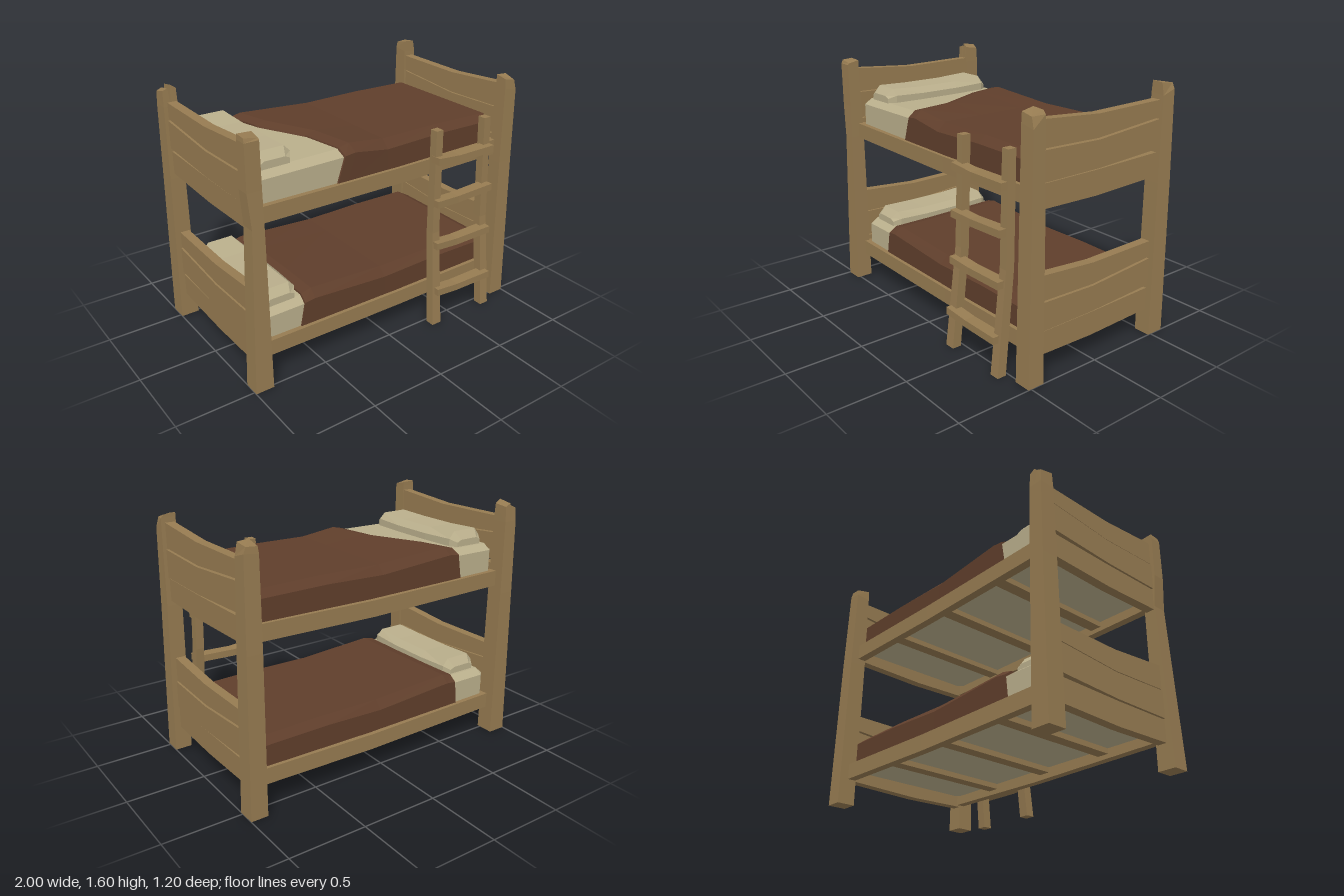
import * as THREE from 'three';

const wood = new THREE.MeshStandardMaterial({ color: 0x967b51 });
wood.name = 'wood';
const linen = new THREE.MeshStandardMaterial({ color: 0xb9ae8b });
linen.name = 'linen';
const wool = new THREE.MeshStandardMaterial({ color: 0x5f3e2b });
wool.name = 'brown blanket';

// Faceted closed solid through a list of rings of [x, y, z] points
function solid(name, rings, material) {
  const tris = [];
  const n = rings[0].length;
  for (let r = 0; r + 1 < rings.length; r++) {
    for (let i = 0; i < n; i++) {
      const j = (i + 1) % n;
      const [a, b, c, d] = [rings[r][i], rings[r][j], rings[r + 1][j], rings[r + 1][i]];
      tris.push([a, b, c], [a, c, d]);
    }
  }
  const last = rings[rings.length - 1];
  for (let i = 1; i + 1 < n; i++) {
    tris.push([rings[0][0], rings[0][i + 1], rings[0][i]], [last[0], last[i], last[i + 1]]);
  }
  // Turn the faces outward whichever way the rings run
  let volume = 0;
  const v = (p) => new THREE.Vector3(...p);
  for (const [a, b, c] of tris) volume += v(a).dot(v(b).cross(v(c)));
  if (volume < 0) tris.forEach((t) => t.reverse());
  const geometry = new THREE.BufferGeometry();
  geometry.setAttribute('position', new THREE.Float32BufferAttribute(tris.flat(2), 3));
  geometry.computeVertexNormals();
  const mesh = new THREE.Mesh(geometry, material);
  mesh.name = name;
  return mesh;
}

// Rectangular bar along an axis; station = [t, a0, a1, b0, b1]
const place = {
  x: (t, a, b) => [t, a, b],
  y: (t, a, b) => [a, t, b],
  z: (t, a, b) => [a, b, t],
};
function bar(name, axis, stations) {
  const p = place[axis];
  return solid(name, stations.map(([t, a0, a1, b0, b1]) =>
    [p(t, a0, b0), p(t, a1, b0), p(t, a1, b1), p(t, a0, b1)]), wood);
}

// Post ring: inner/outer x and z, with one height or a height per corner
function postRing(sx, sz, x0, x1, z0, z1, h) {
  const y = Array.isArray(h) ? h : [h, h, h, h];
  return [[sx * x0, y[0], sz * z0], [sx * x1, y[1], sz * z0],
    [sx * x1, y[2], sz * z1], [sx * x0, y[3], sz * z1]];
}

function createPosts() {
  const posts = new THREE.Group();
  posts.name = 'posts';
  // Front posts with hewn tops
  posts.add(solid('frontLeftPost', [
    postRing(1, 1, 0.89, 1, 0.41, 0.52, 0),
    postRing(1, 1, 0.885, 0.985, 0.41, 0.505, 1.0),
    postRing(1, 1, 0.885, 0.98, 0.42, 0.5, [1.55, 1.55, 1.48, 1.5]),
    postRing(1, 1, 0.885, 0.962, 0.42, 0.497, [1.575, 1.57, 1.545, 1.56]),
  ], wood));
  posts.add(solid('frontRightPost', [
    postRing(-1, 1, 0.88, 1, 0.41, 0.52, 0),
    postRing(-1, 1, 0.885, 0.962, 0.41, 0.505, 1.05),
    postRing(-1, 1, 0.887, 0.98, 0.415, 0.5, 1.27),
    postRing(-1, 1, 0.89, 0.98, 0.42, 0.5, 1.55),
    postRing(-1, 1, 0.89, 0.977, 0.42, 0.49, [1.575, 1.58, 1.575, 1.56]),
  ], wood));
  // Back posts, one of them split at the top
  posts.add(solid('backLeftPost', [
    postRing(1, -1, 0.89, 1, 0.48, 0.6, 0),
    postRing(1, -1, 0.885, 0.985, 0.485, 0.595, 1.0),
    postRing(1, -1, 0.885, 0.975, 0.495, 0.588, [1.53, 1.52, 1.55, 1.54]),
    postRing(1, -1, 0.89, 0.96, 0.495, 0.585, [1.6, 1.595, 1.585, 1.58]),
  ], wood));
  posts.add(solid('backRightPost', [
    postRing(-1, -1, 0.88, 1, 0.48, 0.6, 0),
    postRing(-1, -1, 0.885, 0.985, 0.485, 0.595, 1.0),
    postRing(-1, -1, 0.888, 0.98, 0.49, 0.59, 1.47),
  ], wood));
  posts.add(solid('innerSplinter', [
    postRing(-1, -1, 0.888, 0.935, 0.49, 0.59, 1.47),
    postRing(-1, -1, 0.89, 0.925, 0.495, 0.585, [1.575, 1.6, 1.585, 1.565]),
  ], wood));
  posts.add(solid('outerSplinter', [
    postRing(-1, -1, 0.935, 0.98, 0.49, 0.59, 1.47),
    postRing(-1, -1, 0.945, 0.977, 0.495, 0.585, [1.58, 1.57, 1.55, 1.565]),
  ], wood));
  return posts;
}

// Bedding cross-section, front hem to back hem, with softened top edges
function beddingRing(xs, bottom, shoulder, top, grow, inset = 0) {
  const f = 0.41 + grow - inset;
  const b = -0.51 - grow + inset;
  const profile = [[f, bottom], [f, shoulder], [f - 0.055, top], [0.08, top],
    [-0.25, top], [b + 0.05, top], [b, shoulder], [b, bottom]];
  return profile.map(([z, y], i) => [Array.isArray(xs) ? xs[i] : xs, y, z]);
}

// One bunk, modelled at the upper level
function createBunk(name, blanketEdge) {
  const bunk = new THREE.Group();
  bunk.name = name;

  // Sagging side rails
  for (const [z0, z1] of [[0.39, 0.445], [-0.54, -0.485]]) {
    bunk.add(bar('sideRail', 'x', [[-0.91, 1.042, 1.142, z0, z1],
      [0.1, 1.028, 1.13, z0 - 0.004, z1 - 0.008], [0.91, 1.04, 1.142, z0, z1]]));
  }
  // Three warped boards at each end: [front, middle, back] as [bottom, top]
  const boards = [
    [[1.03, 1.172], [1.02, 1.172], [1.035, 1.182]],
    [[1.178, 1.355], [1.18, 1.343], [1.205, 1.383]],
    [[1.363, 1.52], [1.352, 1.488], [1.393, 1.495]],
  ];
  for (const s of [-1, 1]) {
    boards.forEach((rows, k) => {
      const x0 = s * (0.895 + 0.006 * (k % 2));
      const x1 = s * (0.955 + 0.006 * (k % 2));
      bunk.add(bar('endBoard', 'z', rows.map(([y0, y1], i) =>
        [[0.43, 0, -0.5][i], x0, x1, y0, y1])));
    });
  }
  // Slats under the mattress
  for (const x of [-0.5, 0, 0.5]) {
    bunk.add(bar('slat', 'z', [[0.4, x - 0.04, x + 0.04, 1.065, 1.105],
      [-0.5, x - 0.04, x + 0.04, 1.065, 1.105]]));
  }

  bunk.add(solid('mattress', [
    beddingRing(-0.893, 1.1, 1.27, 1.285, 0, 0.045),
    beddingRing(-0.845, 1.1, 1.28, 1.315, 0),
    beddingRing(-0.25, 1.1, 1.285, 1.322, 0),
    beddingRing(0, 1.1, 1.25, 1.3, 0),
    beddingRing(0.84, 1.1, 1.26, 1.295, 0),
    beddingRing(0.885, 1.1, 1.24, 1.27, 0, 0.05),
  ], linen));

  // Blanket with a slanted turned edge
  bunk.add(solid('blanket', [
    beddingRing(blanketEdge, 1.112, 1.292, 1.329, 0.008),
    beddingRing(blanketEdge.map((x) => x + 0.07), 1.112, 1.3, 1.345, 0.008),
    beddingRing(0.02, 1.112, 1.262, 1.315, 0.004),
    beddingRing(0.42, 1.112, 1.275, 1.32, 0.006),
    beddingRing(0.84, 1.112, 1.272, 1.312, 0.008),
    beddingRing(0.897, 1.112, 1.25, 1.285, 0.004, 0.045),
  ], wool));

  // Pillow, plump along the middle and tapered at the ends
  const pillowRing = (z, w, low, side, top) => {
    const c = -0.72;
    return [[c - w, low, z], [c - w, side, z], [c - w * 0.7, top, z],
      [c + w * 0.68, top, z], [c + w, side, z], [c + w, low, z]];
  };
  bunk.add(solid('pillow', [
    pillowRing(0.36, 0.095, 1.3, 1.345, 1.36),
    pillowRing(0.31, 0.125, 1.3, 1.365, 1.405),
    pillowRing(0.1, 0.135, 1.3, 1.36, 1.397),
    pillowRing(-0.18, 0.135, 1.3, 1.36, 1.397),
    pillowRing(-0.4, 0.125, 1.3, 1.365, 1.41),
    pillowRing(-0.445, 0.095, 1.3, 1.345, 1.36),
  ], linen));
  return bunk;
}

function createLadder() {
  const ladder = new THREE.Group();
  ladder.name = 'ladder';
  // Leaning uprights
  ladder.add(bar('ladderUpright', 'y', [[0, 0.303, 0.372, 0.52, 0.58],
    [0.65, 0.322, 0.378, 0.455, 0.513], [1.33, 0.33, 0.382, 0.44, 0.495]]));
  ladder.add(bar('ladderUpright', 'y', [[0, 0.738, 0.803, 0.52, 0.58],
    [0.65, 0.735, 0.79, 0.455, 0.513], [1.335, 0.728, 0.78, 0.44, 0.495]]));
  // Bent rungs: left height, right height, front depth
  for (const [yl, yr, z] of [[0.245, 0.235, 0.595], [0.57, 0.565, 0.565],
    [0.86, 0.87, 0.553], [1.145, 1.135, 0.543]]) {
    const h = 0.023;
    const mid = (yl + yr) / 2 - 0.012;
    ladder.add(bar('rung', 'x', [[0.325, yl - h, yl + h, z - 0.08, z - 0.005],
      [0.5, mid - h, mid + h, z - 0.085, z - 0.01],
      [0.78, yr - h, yr + h, z - 0.08, z]]));
  }
  return ladder;
}

export function createModel() {
  const model = new THREE.Group();
  model.name = 'bunkBed';
  const upper = createBunk('upperBunk',
    [-0.35, -0.29, -0.3, -0.345, -0.5, -0.555, -0.57, -0.6]);
  const lower = createBunk('lowerBunk',
    [-0.62, -0.585, -0.58, -0.58, -0.59, -0.6, -0.6, -0.62]);
  lower.position.y = -0.873;
  model.add(createPosts(), upper, lower, createLadder());
  return model;
}
